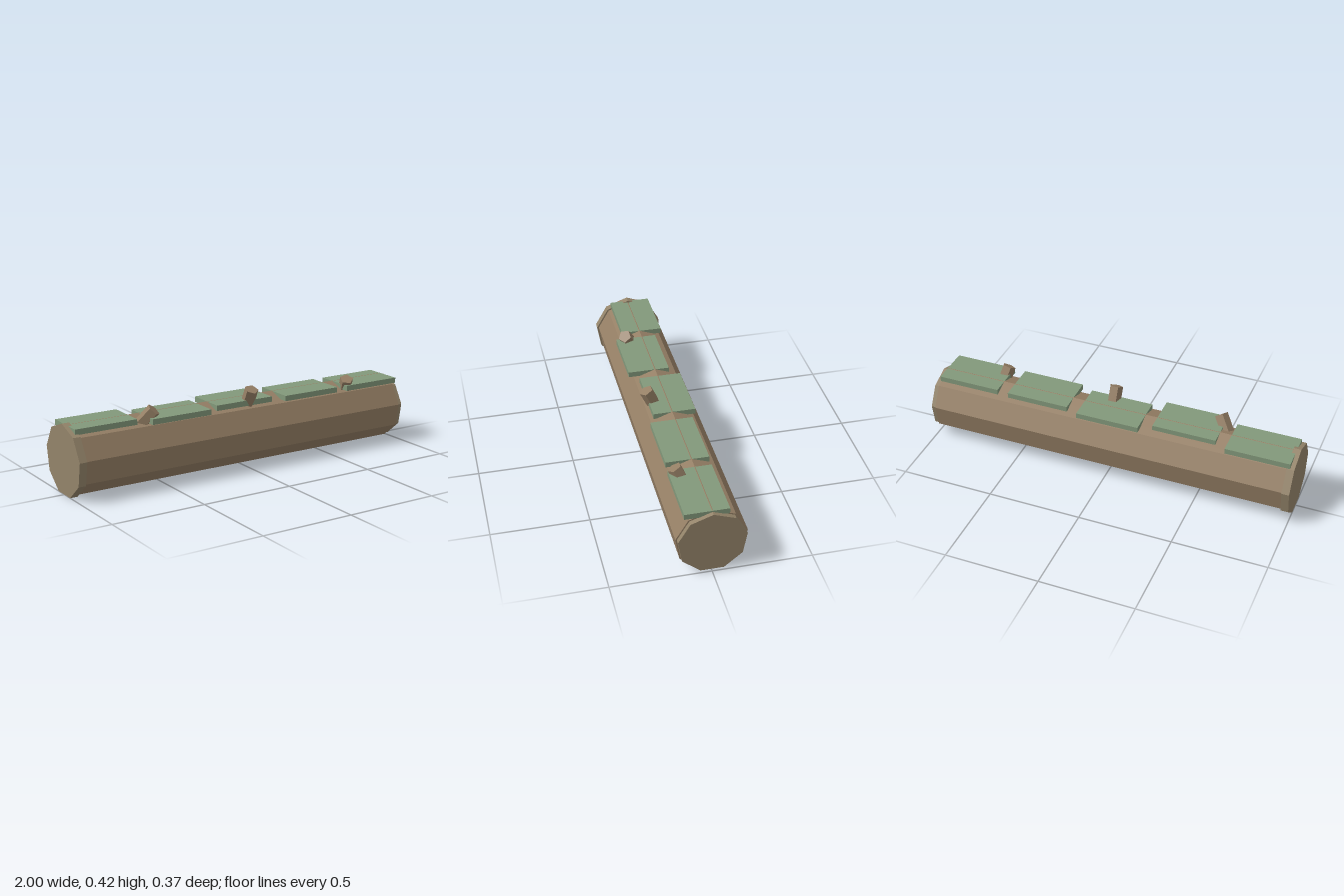
import * as THREE from 'three';

const material = (name, color) => {
  const m = new THREE.MeshStandardMaterial({ color, flatShading: true });
  m.name = name;
  return m;
};

export function createModel() {
  const group = new THREE.Group();
  group.name = 'mossyLog';
  const bark = material('bark brown', 0x957f65);
  const cutWood = material('cut wood', 0x94846a);
  const moss = material('moss green', 0x82987a);

  const add = (name, geometry, mat) => {
    const mesh = new THREE.Mesh(geometry, mat);
    mesh.name = name;
    group.add(mesh);
    return mesh;
  };

  // Nine-sided trunk and end discs, lying along x with a corner on top
  const axisY = 0.176;
  const lyingCylinder = (name, radius, x0, x1, mat) => {
    const geometry = new THREE.CylinderGeometry(radius, radius, x1 - x0, 9);
    geometry.rotateZ(-Math.PI / 2);
    // put a corner at the very top
    const p = geometry.attributes.position;
    geometry.rotateX(-Math.atan2(p.getZ(0), p.getY(0)));
    add(name, geometry, mat).position.set((x0 + x1) / 2, axisY, 0);
  };
  lyingCylinder('trunk', 0.178, -0.975, 0.975, bark);
  lyingCylinder('wideEnd', 0.187, -1, -0.96, cutWood);
  lyingCylinder('narrowEnd', 0.171, 0.96, 1, cutWood);

  // Moss slabs along the top: x centre, z centre
  const slabs = [[-0.808, -0.012], [-0.406, 0.034], [-0.002, -0.012], [0.405, 0.02], [0.808, 0.025]];
  slabs.forEach(([x, z], i) => {
    add('mossPatch' + (i + 1), new THREE.BoxGeometry(0.34, 0.029, 0.22), moss).position.set(x, 0.3385, z);
  });

  // Broken branch stubs: base and tip
  const stubs = [
    [[-0.61, 0.295, 0.05], [-0.545, 0.388, 0.102]],
    [[0.035, 0.304, 0.055], [0.035, 0.412, 0.107]],
    [[0.678, 0.295, 0.06], [0.658, 0.382, 0.105]],
  ];
  const up = new THREE.Vector3(0, 1, 0);
  stubs.forEach(([a, b], i) => {
    const base = new THREE.Vector3(...a);
    const tip = new THREE.Vector3(...b);
    const along = tip.clone().sub(base);
    const stub = add('branchStub' + (i + 1), new THREE.CylinderGeometry(0.037, 0.037, along.length(), 5), bark);
    stub.position.copy(base).add(tip).multiplyScalar(0.5);
    stub.quaternion.setFromUnitVectors(up, along.normalize());
  });

  return group;
}
